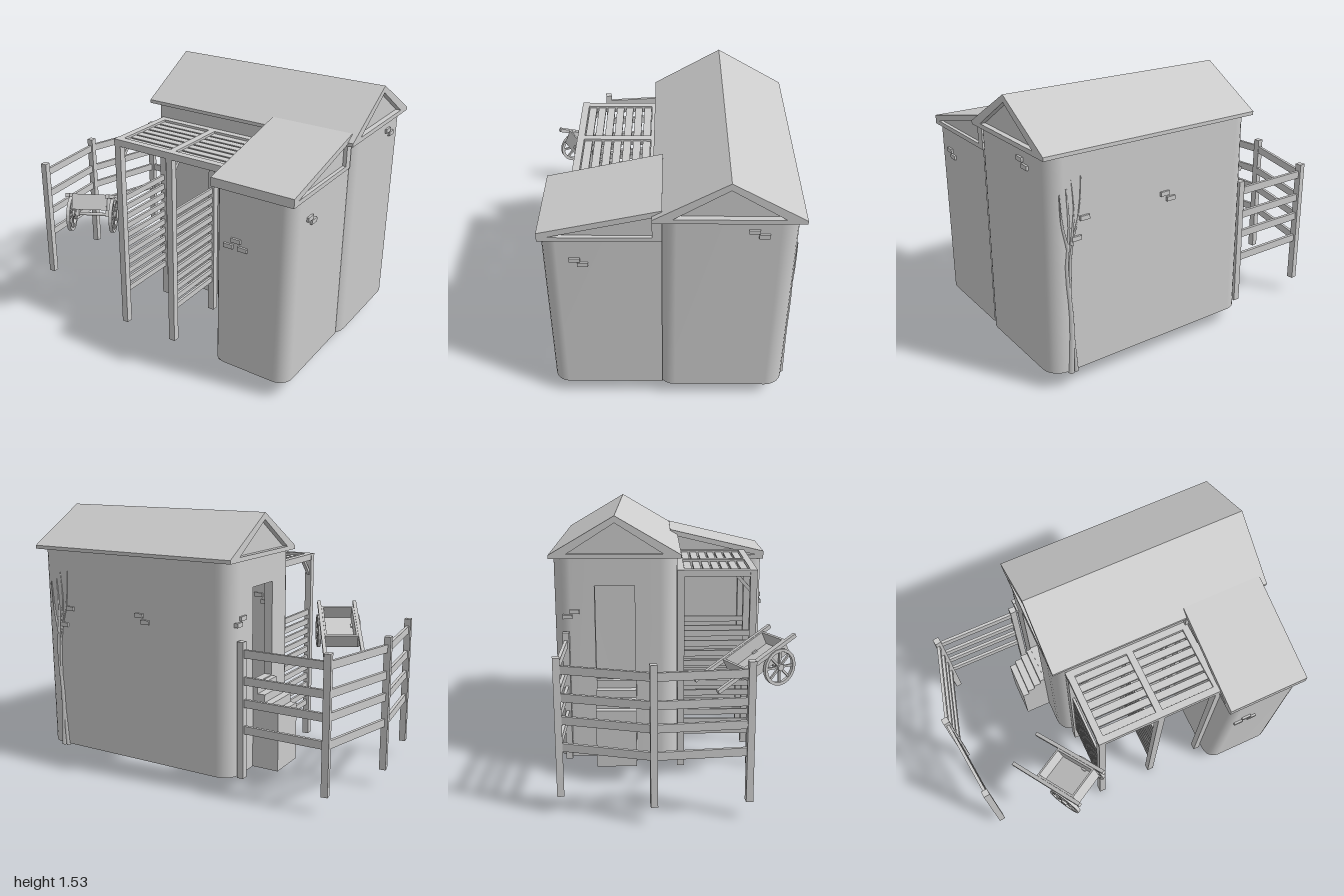
import * as THREE from 'three';

const mat = new THREE.MeshStandardMaterial({ color: 0xcccccc });
const thinMat = new THREE.MeshStandardMaterial({ color: 0xcccccc, side: THREE.DoubleSide });
const V = (x, y, z) => new THREE.Vector3(x, y, z);

function add(parent, name, geo, x = 0, y = 0, z = 0, m = mat) {
  const mesh = new THREE.Mesh(geo, m);
  mesh.name = name;
  mesh.position.set(x, y, z);
  parent.add(mesh);
  return mesh;
}
const box = (p, name, w, h, d, x, y, z) => add(p, name, new THREE.BoxGeometry(w, h, d), x, y, z);

function group(parent, name) {
  const g = new THREE.Group();
  g.name = name;
  parent.add(g);
  return g;
}

// Square bar from point a to point b
function beam(parent, name, a, b, w, h) {
  const m = add(parent, name, new THREE.BoxGeometry(w, h, a.distanceTo(b)));
  m.position.copy(a).lerp(b, 0.5);
  m.lookAt(b);
  return m;
}

// Upright wall along a ground path of [x, z]; outward is to the right of travel
function wall(parent, name, path, y0, y1) {
  const pos = [], idx = [];
  path.forEach(([x, z], i) => {
    pos.push(x, y0, z, x, y1, z);
    const a = i * 2;
    if (i) idx.push(a - 2, a, a + 1, a - 2, a + 1, a - 1);
  });
  const g = new THREE.BufferGeometry();
  g.setAttribute('position', new THREE.Float32BufferAttribute(pos, 3));
  g.setIndex(idx);
  g.computeVertexNormals();
  return add(parent, name, g, 0, 0, 0, thinMat);
}

// Rounded vertical corner, quarter number q (0 = front left, counting round to the back left)
function corner(cx, cz, r, q) {
  return Array.from({ length: 7 }, (_, i) => {
    const a = (q - 1 + i / 6) * Math.PI / 2;
    return [cx + r * Math.sin(a), cz + r * Math.cos(a)];
  });
}

// Extrude a [z, y] profile along x from x0 to x1
function profileX(parent, name, pts, x0, x1, hole) {
  const flip = ([z, y]) => new THREE.Vector2(-z, y);
  const s = new THREE.Shape(pts.map(flip));
  if (hole) s.holes.push(new THREE.Path(hole.map(flip)));
  const g = new THREE.ExtrudeGeometry(s, { depth: x1 - x0, bevelEnabled: false });
  g.rotateY(Math.PI / 2);
  return add(parent, name, g, x0, 0, 0);
}

// Bare branches climbing a wall; each list holds [x, y] points
function vine(parent, name, z, stems) {
  const g = group(parent, name);
  stems.forEach(([r, ...pts]) => {
    const curve = new THREE.CatmullRomCurve3(pts.map(([x, y]) => V(x, y, z)));
    const n = 10, geo = new THREE.TubeGeometry(curve, n, r, 5);
    // taper towards the tip
    const p = geo.attributes.position, c = V();
    for (let i = 0; i < p.count; i++) {
      const t = Math.floor(i / 6) / n;
      curve.getPointAt(t, c);
      const v = V().fromBufferAttribute(p, i).sub(c).multiplyScalar(1 - 0.75 * t).add(c);
      p.setXYZ(i, v.x, v.y, v.z);
    }
    add(g, 'branch', geo);
  });
}

function buildHouse(root) {
  const g = group(root, 'house');
  const X0 = -0.32, X1 = 0.985, Z0 = -0.68, Z1 = 0.03, r = 0.1, d0 = -0.45, d1 = -0.21;
  wall(g, 'houseWalls', [[X0, d1], ...corner(X0 + r, Z1 - r, r, 0), ...corner(X1 - r, Z1 - r, r, 1),
    ...corner(X1 - r, Z0 + r, r, 2), ...corner(X0 + r, Z0 + r, r, 3), [X0, d0]], 0.1, 1.3);
  wall(g, 'wallBelowDoor', [[X0, d0], [X0, d1]], 0.1, 0.58);
  wall(g, 'wallAboveDoor', [[X0, d0], [X0, d1]], 1.14, 1.3);
  // Door reveal
  for (const z of [d0, d1]) box(g, 'doorJamb', 0.05, 0.56, 0.012, X0 + 0.025, 0.86, z);
  for (const y of [0.58, 1.14]) box(g, 'doorLintelOrSill', 0.05, 0.012, d1 - d0, X0 + 0.025, y, (d0 + d1) / 2);
  // Gable roof with recessed ends
  const inner = [[-0.6, 1.315], [-0.325, 1.49], [-0.05, 1.315]];
  profileX(g, 'mainRoof', [[0.05, 1.29], [0.05, 1.31], [-0.325, 1.53], [-0.7, 1.31], [-0.7, 1.29]], -0.33, 1, inner);
  profileX(g, 'gableInfill', inner, -0.3, 0.97);

  // Lean-to at the front
  wall(g, 'annexWalls', [[0.5, 0], ...corner(0.58, 0.53, 0.08, 0), ...corner(0.885, 0.53, 0.08, 1), [0.965, 0]], 0.1, 1.16);
  const tri = [[0.575, 1.175], [0.05, 1.175], [0.05, 1.3]];
  profileX(g, 'annexRoof', [[0.62, 1.15], [0.62, 1.2], [0, 1.345], [0, 1.15]], 0.49, 0.97, tri);
  profileX(g, 'annexRoofInfill', tri, 0.51, 0.95);

  // Steps up to the side door
  const s = new THREE.Shape([[-0.31, 0.1], [-0.31, 0.58], [-0.35, 0.58], [-0.35, 0.535], [-0.395, 0.535], [-0.395, 0.49],
    [-0.44, 0.49], [-0.44, 0.44], [-0.48, 0.44], [-0.48, 0.1]].map(p => new THREE.Vector2(...p)));
  add(g, 'steps', new THREE.ExtrudeGeometry(s, { depth: 0.23, bevelEnabled: false }), 0, 0, -0.44);

  // Loose bricks standing proud: [x, y] on front and back walls, [z, y] on side walls
  const bw = 0.055, bh = 0.024, bd = 0.024;
  const rowX = (z, list) => list.forEach(([x, y]) => box(g, 'brick', bw, bh, bd, x, y, z));
  const rowZ = (x, list) => list.forEach(([z, y]) => box(g, 'brick', bd, bh, bw, x, y, z));
  rowX(Z1, [[-0.1, 1.0], [-0.145, 0.96]]);
  rowX(0.61, [[0.645, 0.88], [0.6, 0.84], [0.685, 0.84]]);
  rowX(Z0, [[0.77, 0.95], [0.82, 0.85], [0.27, 0.96], [0.23, 0.925]]);
  rowZ(X1, [[-0.45, 1.235], [-0.5, 1.205]]);
  rowZ(0.965, [[0.44, 1.03], [0.4, 1.0]]);
  rowZ(X0, [[-0.56, 0.985], [-0.6, 0.955]]);

  vine(g, 'backVine', Z0, [
    [0.018, [0.87, 0.09], [0.86, 0.4], [0.88, 0.7], [0.86, 0.9], [0.87, 1.12]],
    [0.013, [0.84, 0.09], [0.865, 0.5], [0.85, 0.8], [0.8, 0.98], [0.785, 1.17]],
    [0.01, [0.87, 0.8], [0.9, 0.95], [0.91, 1.1]],
    [0.008, [0.85, 0.82], [0.83, 1.0], [0.84, 1.16]]]);
  vine(g, 'frontVine', Z1, [
    [0.018, [0.41, 0.09], [0.42, 0.4], [0.41, 0.7], [0.4, 0.85], [0.41, 0.98]],
    [0.01, [0.4, 0.75], [0.38, 0.88], [0.36, 1.03]],
    [0.008, [0.4, 0.82], [0.37, 0.9], [0.35, 0.96]]]);
}

function buildPergola(root) {
  const g = group(root, 'pergola');
  const xs = [-0.23, 0.13, 0.485], zs = [0.05, 0.47];
  for (const x of xs) {
    for (const z of zs) box(g, 'pergolaPost', 0.04, 1.18, 0.04, x, 0.59, z);
    box(g, 'crossBeam', 0.04, 0.04, 0.46, x, 1.19, 0.26);
    // Corner brace under the beam
    beam(g, 'brace', V(x, 1.08, 0.46), V(x, 1.18, 0.37), 0.02, 0.02);
  }
  for (const z of zs) box(g, 'longBeam', 0.755, 0.04, 0.04, 0.125, 1.19, z);
  // Roof slats in both bays
  for (const x of [-0.05, 0.3075])
    for (let i = 0; i < 7; i++) box(g, 'roofSlat', 0.33, 0.015, 0.043, x, 1.19, 0.095 + i * 0.055);
  // Slatted side screens
  for (const x of xs.slice(0, 2))
    for (let i = 0; i < 11; i++) box(g, 'screenSlat', 0.015, 0.035, 0.4, x, 0.22 + i * 0.061, 0.26);
}

function buildFence(root) {
  const g = group(root, 'fence');
  const pts = [[-0.345, -0.61], [-0.845, -0.61], [-0.98, -0.11], [-0.925, 0.39]];
  pts.forEach(([x, z], i) => {
    const p = box(g, 'fencePost', 0.038, 0.77, 0.038, x, 0.485, z);
    p.rotation.y = [0, 0.13, 0.1, 0.1][i];
    if (!i) return;
    const [px, pz] = pts[i - 1];
    for (const y of [0.38, 0.53, 0.655, 0.805]) beam(g, 'fenceRail', V(px, y, pz), V(x, y, z), 0.018, 0.045);
  });
}

function buildCart(root) {
  const g = group(root, 'handcart');
  g.position.set(-0.412, 0.71, 0.53);
  g.rotation.y = 0.513;
  // Spoked wheels
  for (const s of [-1, 1]) {
    const w = group(g, 'wheel');
    w.position.x = s * 0.125;
    w.rotation.y = Math.PI / 2;
    const rim = new THREE.Shape().absarc(0, 0, 0.106, 0, Math.PI * 2);
    rim.holes.push(new THREE.Path().absarc(0, 0, 0.088, 0, Math.PI * 2));
    add(w, 'rim', new THREE.ExtrudeGeometry(rim, { depth: 0.02, bevelEnabled: false, curveSegments: 10 }), 0, 0, -0.01);
    for (let i = 0; i < 4; i++) box(w, 'spokePair', 0.18, 0.012, 0.012, 0, 0, 0).rotation.z = i * Math.PI / 4;
    add(w, 'hub', new THREE.CylinderGeometry(0.02, 0.02, 0.035, 10)).rotation.x = Math.PI / 2;
  }
  add(g, 'axle', new THREE.CylinderGeometry(0.01, 0.01, 0.25, 8)).rotation.z = Math.PI / 2;
  // Tray and shafts, tipped up at the front
  const t = group(g, 'tray');
  t.rotation.x = -0.45;
  box(t, 'trayFloor', 0.2, 0.012, 0.29, 0, 0.03, -0.045);
  for (const s of [-1, 1]) {
    box(t, 'traySide', 0.012, 0.09, 0.3, s * 0.098, 0.07, -0.045);
    box(t, 'trayEnd', 0.2, 0.09, 0.012, 0, 0.07, -0.045 + s * 0.145);
    box(t, 'shaft', 0.022, 0.022, 0.57, s * 0.116, 0.105, -0.115);
    box(t, 'axleBracket', 0.02, 0.06, 0.03, s * 0.09, 0.015, 0);
  }
}

export function createModel() {
  const root = new THREE.Group();
  root.name = 'farmhouse';
  buildHouse(root);
  buildPergola(root);
  buildFence(root);
  buildCart(root);
  return root;
}
